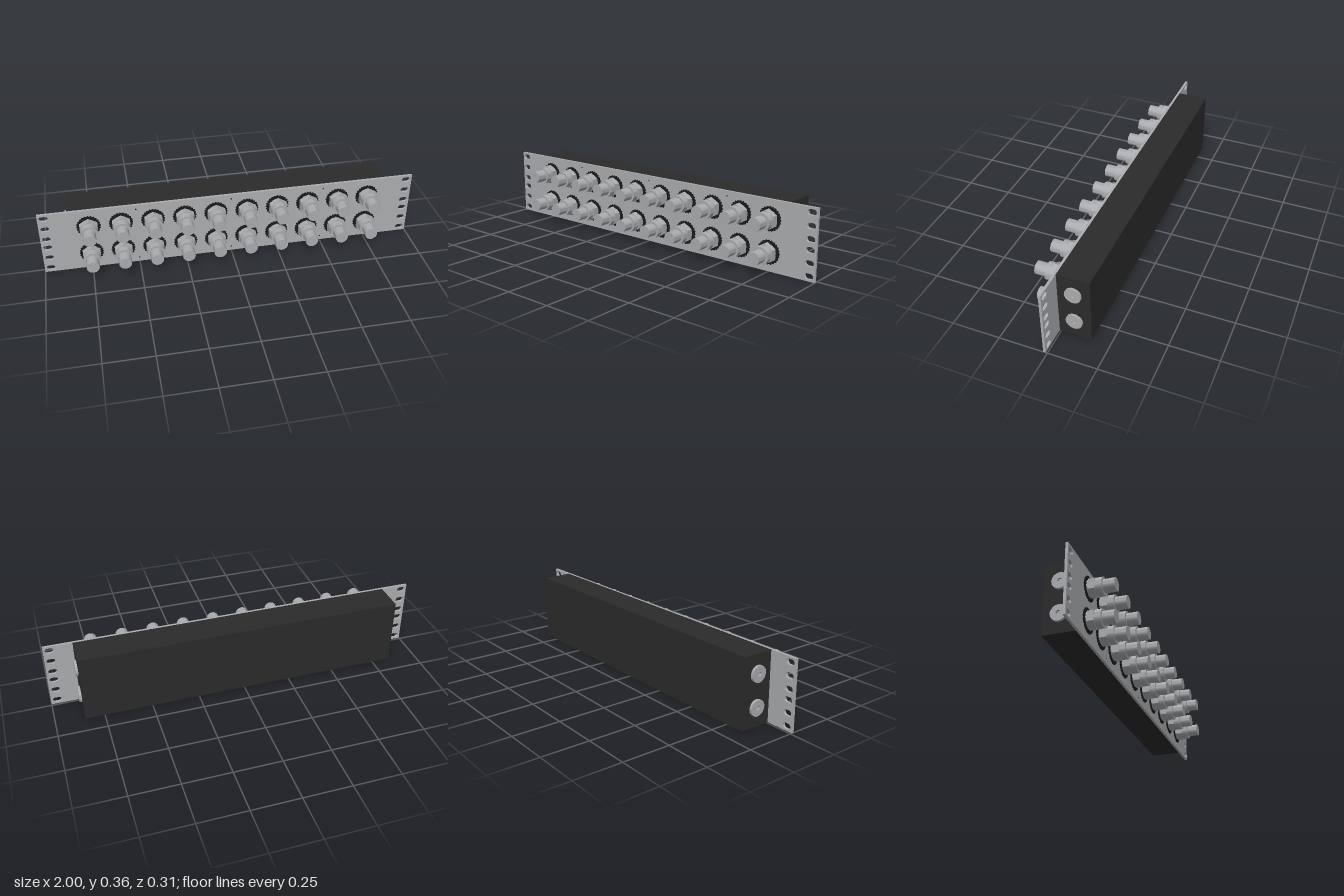
import * as THREE from 'three';
import { toCreasedNormals } from 'three/addons/utils/BufferGeometryUtils.js';

const mat = (name, color) => {
  const m = new THREE.MeshStandardMaterial({ color });
  m.name = name;
  return m;
};

// Closed polygon with alternating radii, used for hexes and toothed rims
function polygon(Type, count, r1, r2 = r1) {
  const pts = [];
  for (let i = 0; i < count; i++) {
    const a = (i / count) * Math.PI * 2, r = i % 2 ? r2 : r1;
    pts.push(new THREE.Vector2(Math.cos(a) * r, Math.sin(a) * r));
  }
  return new Type(pts);
}

const extrude = (shape, depth) =>
  new THREE.ExtrudeGeometry(shape, { depth, bevelEnabled: false, curveSegments: 10 });

// Cylinder or prism along z between two depths
function barrel(radius, z0, z1, sides = 32) {
  const g = new THREE.CylinderGeometry(radius, radius, z1 - z0, sides);
  g.rotateX(Math.PI / 2).translate(0, 0, (z0 + z1) / 2);
  return toCreasedNormals(g, 0.6);
}

export function createModel() {
  const model = new THREE.Group();
  model.name = 'rackConnectorPanel';
  const panelGrey = mat('panel grey', 0xacadb0);
  const metal = mat('connector metal', 0xa9abae);
  const black = mat('housing black', 0x2b2b2b);
  const rubber = mat('washer black', 0x1c1c1c);

  const add = (parent, name, geometry, material) => {
    const mesh = new THREE.Mesh(geometry, material);
    mesh.name = name;
    parent.add(mesh);
    return mesh;
  };

  const H = 0.36, rows = [0.098, 0.264];

  // Front panel with rounded mounting slots at both ends
  const face = new THREE.Shape();
  face.moveTo(-1, 0).lineTo(1, 0).lineTo(1, H).lineTo(-1, H).closePath();
  const r = 0.0145, half = 0.008;
  for (const x of [-0.968, 0.968]) {
    for (const y of [0.025, 0.09, 0.154, 0.206, 0.27, 0.335]) {
      const slot = new THREE.Path();
      slot.absarc(x + half, y, r, -Math.PI / 2, Math.PI / 2, false);
      slot.absarc(x - half, y, r, Math.PI / 2, Math.PI * 1.5, false);
      slot.closePath();
      face.holes.push(slot);
    }
  }
  add(model, 'frontPanel', extrude(face, 0.013).translate(0, 0, 0.008), panelGrey);

  // Housing behind the panel
  add(model, 'housing', new THREE.BoxGeometry(1.7, H, 0.165).translate(0, H / 2, -0.0745), black);

  // Small flush screw sockets along the panel edges
  for (const x of [-0.5, 0, 0.5]) {
    for (const y of [0.025, 0.335]) {
      const s = add(model, 'panelScrewSocket', barrel(0.004, 0.02, 0.0215, 6), rubber);
      s.position.set(x, y, 0);
    }
  }

  // Two rows of connectors
  const parts = [
    ['toothedWasher', extrude(polygon(THREE.Shape, 48, 0.063, 0.057), 0.005).translate(0, 0, 0.021), rubber],
    ['collar', barrel(0.043, 0.026, 0.034), metal],
    ['hexNut', barrel(0.053, 0.034, 0.067, 6), metal],
    ['connectorBody', barrel(0.045, 0.067, 0.1), metal],
    ['connectorTip', barrel(0.033, 0.1, 0.158), metal],
  ];
  for (const y of rows) {
    for (let i = 0; i < 10; i++) {
      const connector = new THREE.Group();
      connector.name = 'connector';
      connector.position.set(-0.748 + i * 0.1662, y, 0);
      for (const [name, geometry, material] of parts) add(connector, name, geometry, material);
      model.add(connector);
    }
  }

  // Knurled plugs with hex sockets on both ends of the housing
  const head = polygon(THREE.Shape, 64, 0.0415, 0.0405);
  head.holes.push(polygon(THREE.Path, 6, 0.0125));
  const headGeometry = extrude(head, 0.013);
  const floorGeometry = barrel(0.02, 0, 0.003, 16);
  for (const side of [-1, 1]) {
    for (const y of rows) {
      const plug = new THREE.Group();
      plug.name = 'endPlug';
      plug.position.set(side * 0.85, y, -0.074);
      plug.rotation.y = side * Math.PI / 2;
      add(plug, 'plugHead', headGeometry, metal);
      add(plug, 'socketFloor', floorGeometry, metal);
      model.add(plug);
    }
  }
  return model;
}
